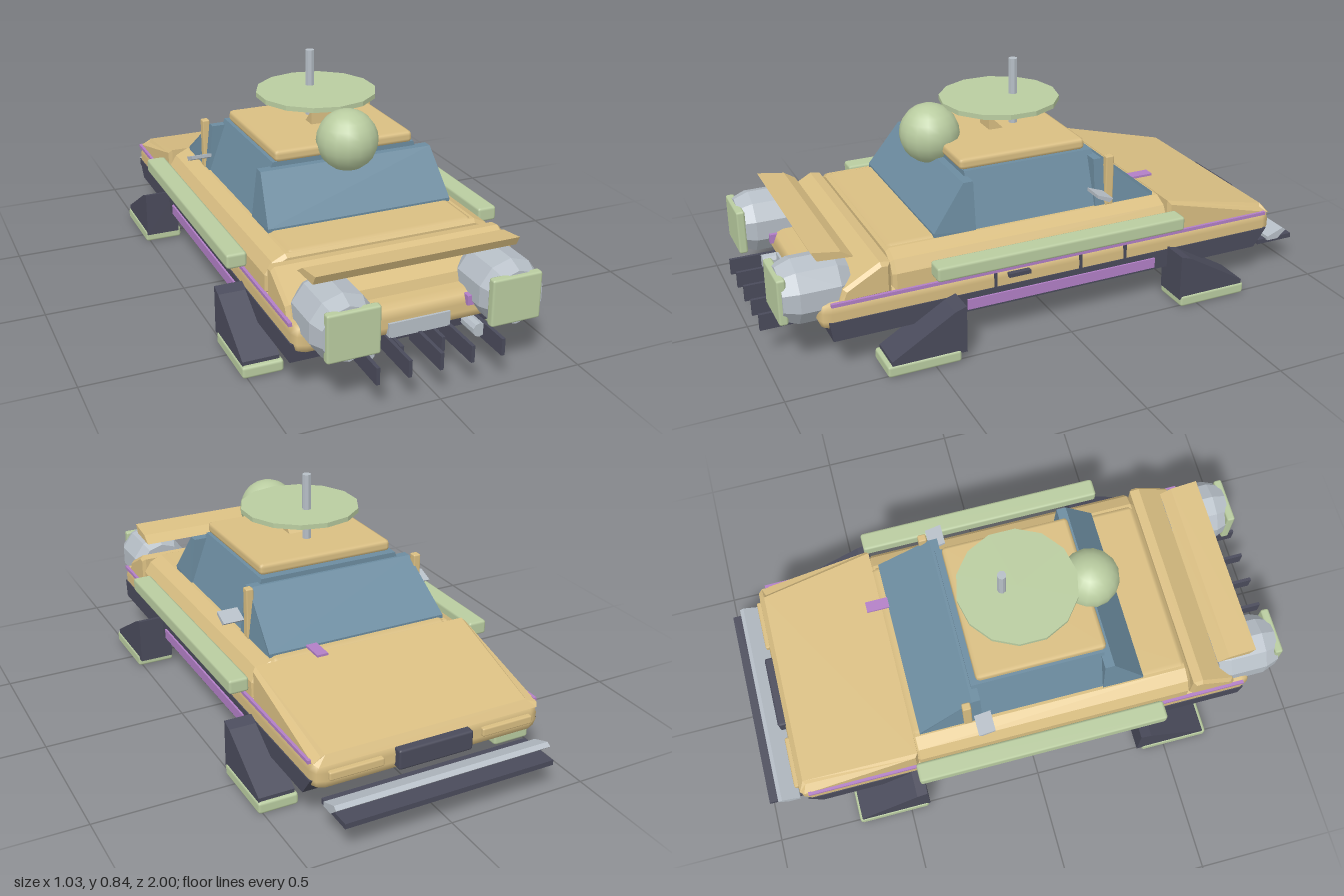
import * as THREE from 'three';
import { RoundedBoxGeometry } from 'three/addons/geometries/RoundedBoxGeometry.js';

export function createModel() {
  const root = new THREE.Group();
  root.name = 'hoverCar';
  const mat = (name, color) => {
    const m = new THREE.MeshStandardMaterial({ color });
    m.name = name;
    return m;
  };
  const tan = mat('tan paint', 0xd9be82);
  const green = mat('pale green', 0xb9cca0);
  const glass = mat('blue glass', 0x6c8ca0);
  const dark = mat('dark slate', 0x4a4b5b);
  const grey = mat('light grey', 0xb6bec6);
  const purple = mat('purple trim', 0xb27fc6);

  const add = (name, geo, material, x = 0, y = 0, z = 0) => {
    const m = new THREE.Mesh(geo, material);
    m.name = name;
    m.position.set(x, y, z);
    root.add(m);
  };
  // Box given by its limits on each axis; r > 0 rounds the edges
  const box = (name, material, [x0, x1], [y0, y1], [z0, z1], r = 0) => {
    const s = [x1 - x0, y1 - y0, z1 - z0];
    const geo = r ? new RoundedBoxGeometry(s[0], s[1], s[2], 1, r) : new THREE.BoxGeometry(s[0], s[1], s[2]);
    add(name, geo, material, (x0 + x1) / 2, (y0 + y1) / 2, (z0 + z1) / 2);
  };
  // Outline extruded along z and centred, with an optional bevel inside its limits
  const slab = (points, width, b = 0) => {
    const shape = new THREE.Shape(points.map(([u, v]) => new THREE.Vector2(u, v)));
    const depth = width - 2 * b;
    const options = b > 0
      ? { depth, bevelEnabled: true, bevelSize: b, bevelThickness: b, bevelOffset: -b, bevelSegments: 1 }
      : { depth, bevelEnabled: false };
    return new THREE.ExtrudeGeometry(shape, options).translate(0, 0, -depth / 2);
  };
  // Side outline of [z, y] points, extruded across x
  const sideSlab = (points, width, b = 0) => slab(points, width, b).rotateY(-Math.PI / 2);
  // Faceted cylinder standing on y
  const facetCylinder = (rTop, rBottom, h, sides) => {
    const g = new THREE.CylinderGeometry(rTop, rBottom, h, sides).toNonIndexed();
    g.computeVertexNormals();
    return g;
  };

  // Lower body and underside
  add('chassis', sideSlab([[-0.8, 0.12], [0.81, 0.12], [0.82, 0.188], [-0.85, 0.188]], 0.835), dark);
  box('lowerBody', tan, [-0.415, 0.415], [0.15, 0.258], [-0.875, 0.848], 0.04);

  // Upper hull with sloping shoulders
  const section = [[-0.41, 0.25], [0.41, 0.25], [0.41, 0.31], [0.385, 0.35], [0.34, 0.372],
    [-0.34, 0.372], [-0.385, 0.35], [-0.41, 0.31]];
  add('upperHull', slab(section, 1.03, 0.012), tan, 0, 0, 0.085);
  box('deckPanel', tan, [-0.335, 0.335], [0.3, 0.378], [-0.43, 0.595], 0.02);

  // Sloping hood, narrowing toward its tip
  const hood = sideSlab([[-0.87, 0.24], [-0.425, 0.24], [-0.425, 0.37], [-0.85, 0.268]], 0.82, 0.012);
  const hp = hood.attributes.position;
  for (let i = 0; i < hp.count; i++) {
    if (hp.getZ(i) < -0.7 && hp.getY(i) > 0.255) hp.setX(i, hp.getX(i) * 0.92);
  }
  hood.computeVertexNormals();
  add('hood', hood, tan);
  add('rearDeck', sideSlab([[0.605, 0.245], [0.78, 0.245], [0.765, 0.29], [0.64, 0.36], [0.605, 0.355]], 0.82, 0.012), tan);
  add('spoiler', sideSlab([[0.71, 0.372], [0.83, 0.38], [0.848, 0.413], [0.75, 0.398]], 0.7), tan);

  // Cabin: sloping side windows and two end screens
  add('sideWindows', slab([[-0.33, 0.37], [0.33, 0.37], [0.262, 0.557], [-0.262, 0.557]], 0.48), glass, 0, 0, 0.05);
  const screen = (name, points) => {
    const g = sideSlab(points, 0.67);
    const p = g.attributes.position;
    for (let i = 0; i < p.count; i++) if (p.getY(i) > 0.5) p.setX(i, p.getX(i) * 0.94);
    g.computeVertexNormals();
    add(name, g, glass);
  };
  screen('windshield', [[-0.4, 0.37], [-0.17, 0.37], [-0.17, 0.54], [-0.2, 0.54], [-0.4, 0.385]]);
  screen('rearScreen', [[0.28, 0.37], [0.43, 0.37], [0.43, 0.385], [0.315, 0.54], [0.28, 0.54]]);
  box('roof', tan, [-0.255, 0.255], [0.555, 0.597], [-0.168, 0.3], 0.015);

  // Roof equipment
  add('roofFin', sideSlab([[0.04, 0.59], [0.1, 0.59], [0.1, 0.65]], 0.08), tan);
  add('dome', new THREE.SphereGeometry(0.106, 16, 12), green, 0, 0.607, 0.31);
  add('dish', facetCylinder(0.213, 0.213, 0.017, 14), green, 0, 0.698, 0.045);
  add('mast', facetCylinder(0.016, 0.016, 0.245, 8), grey, 0, 0.713, -0.01);

  // Paired parts on both sides
  for (const s of [1, -1]) {
    const span = (a, b) => (s > 0 ? [a, b] : [-b, -a]);
    box('sideRail', green, span(0.426, 0.496), [0.293, 0.345], [-0.44, 0.48], 0.01);
    box('trimStrip', purple, span(0.408, 0.42), [0.243, 0.255], [-0.84, 0.81]);
    box('sillStrip', purple, span(0.41, 0.424), [0.13, 0.167], [-0.37, 0.35]);
    for (const z of [0.245, -0.075, -0.25])
      box('doorSeam', dark, span(0.41, 0.419), [0.18, 0.243], [z - 0.005, z + 0.005]);
    box('doorHandle', dark, span(0.41, 0.428), [0.218, 0.232], [0.12, 0.2]);
    box('pillar', tan, span(0.313, 0.34), [0.37, 0.552], [-0.238, -0.207], 0.005);
    add('mirror', sideSlab([[-0.2, 0.425], [-0.185, 0.414], [-0.14, 0.435], [-0.14, 0.447]], 0.075), grey, s * 0.37);
    box('headlamp', tan, span(0.18, 0.37), [0.195, 0.225], [-0.888, -0.865], 0.006);

    // Thruster pod in three rings, with a square nozzle plate
    for (const [rear, front, z0, z1] of [[0.112, 0.09, 0.725, 0.765], [0.112, 0.112, 0.765, 0.9], [0.092, 0.112, 0.9, 0.952]])
      add('thruster', facetCylinder(rear, front, z1 - z0, 10).rotateX(Math.PI / 2), grey, s * 0.286, 0.264, (z0 + z1) / 2);
    box('nozzlePlate', green, span(0.188, 0.364), [0.184, 0.345], [0.935, 0.966], 0.008);
    box('thrusterClip', purple, span(0.165, 0.195), [0.215, 0.248], [0.82, 0.86]);
    add('smallJet', facetCylinder(0.024, 0.024, 0.08, 10).rotateX(Math.PI / 2), grey, s * 0.195, 0.138, 0.85);

    // Landing legs and pads
    const legs = [
      { outline: [[0.39, 0.03], [0.65, 0.03], [0.65, 0.055], [0.43, 0.185], [0.39, 0.198]], pad: [0.41, 0.665] },
      { outline: [[-0.685, 0.03], [-0.425, 0.03], [-0.425, 0.198], [-0.465, 0.185], [-0.685, 0.055]], pad: [-0.695, -0.43] },
    ];
    for (const { outline, pad } of legs) {
      add('landingLeg', sideSlab(outline, 0.125), dark, s * 0.449);
      box('landingPad', green, span(0.376, 0.516), [0, 0.042], pad, 0.01);
    }
  }

  // Tail details: plate and diffuser fins
  box('tailPlate', grey, [-0.107, 0.107], [0.157, 0.207], [0.835, 0.856]);
  for (const x of [-0.214, -0.107, 0, 0.107, 0.214])
    box('diffuserFin', dark, [x - 0.006, x + 0.006], [0.102, 0.16], [0.8, 1]);
  for (const x of [-0.072, 0.072])
    box('lowerFin', dark, [x - 0.006, x + 0.006], [0.082, 0.135], [0.745, 0.88]);

  // Nose details: grille, bumper and marker
  box('grille', dark, [-0.135, 0.135], [0.17, 0.24], [-0.9, -0.86], 0.008);
  box('splitter', dark, [-0.378, 0.378], [0.1, 0.118], [-1, -0.85]);
  add('bumper', sideSlab([[-0.965, 0.145], [-0.93, 0.115], [-0.885, 0.115], [-0.885, 0.13], [-0.95, 0.155]], 0.78), grey);
  box('hoodMarker', purple, [0.16, 0.2], [0.38, 0.388], [-0.48, -0.39]);

  return root;
}
